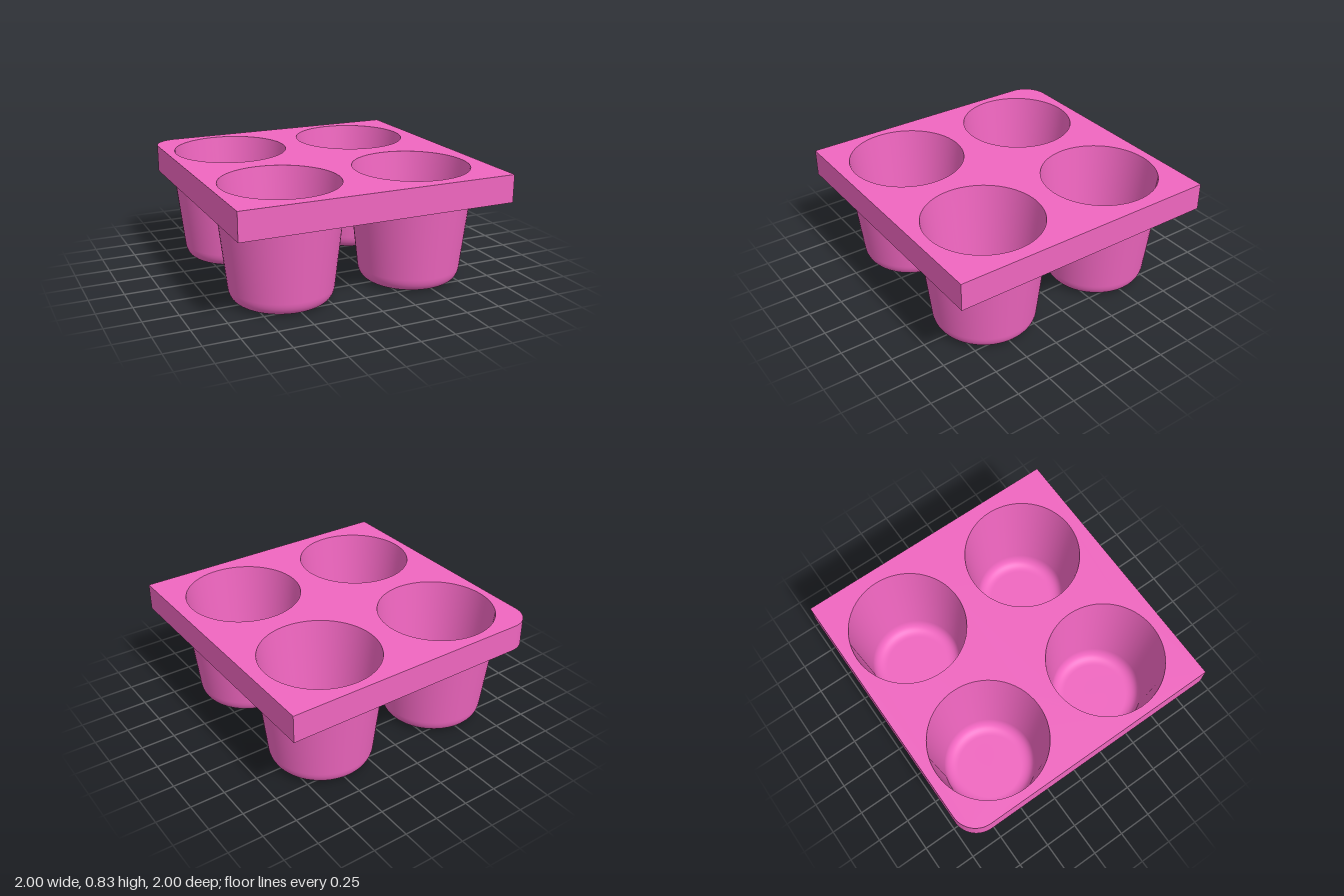
import * as THREE from 'three';

const TOP = 0.83, UNDER = 0.63, HOLE = 0.42, CORNER = 0.18;
const CENTRES = [[-0.52, -0.51], [0.48, -0.51], [-0.52, 0.49], [0.48, 0.49]];

export function createModel() {
  const group = new THREE.Group();
  const material = new THREE.MeshStandardMaterial({ color: 0xf066c0 });

  const add = (name, geometry, x = 0, y = 0, z = 0) => {
    const mesh = new THREE.Mesh(geometry, material);
    mesh.name = name;
    mesh.position.set(x, y, z);
    group.add(mesh);
  };

  // Square plate with one rounded corner (back, -x) and four round holes
  const outline = new THREE.Shape();
  outline.moveTo(-1, -1);
  outline.lineTo(1, -1);
  outline.lineTo(1, 1);
  outline.lineTo(-1 + CORNER, 1);
  outline.absarc(-1 + CORNER, 1 - CORNER, CORNER, Math.PI / 2, Math.PI, false);
  outline.closePath();
  for (const [x, z] of CENTRES) {
    outline.holes.push(new THREE.Path().absarc(x, -z, HOLE, 0, Math.PI * 2, true));
  }
  const plate = new THREE.ExtrudeGeometry(outline, {
    depth: TOP - UNDER, bevelEnabled: false, curveSegments: 32,
  });
  plate.rotateX(-Math.PI / 2);
  add('plate', plate, 0, UNDER, 0);

  // Tapered cup skins with a rounded bottom edge
  const outer = new THREE.Path();
  outer.moveTo(0, 0);
  outer.lineTo(0.27, 0);
  outer.quadraticCurveTo(0.36, 0, 0.371, 0.1);
  outer.lineTo(0.43, UNDER);

  const inner = new THREE.Path();
  inner.moveTo(HOLE, TOP);
  inner.lineTo(0.341, 0.13);
  inner.quadraticCurveTo(0.33, 0.03, 0.24, 0.03);
  inner.lineTo(0, 0.03);

  const outerSkin = new THREE.LatheGeometry(outer.getPoints(10), 64);
  const innerSkin = new THREE.LatheGeometry(inner.getPoints(10), 64);
  for (const [x, z] of CENTRES) {
    add('cupOutside', outerSkin, x, 0, z);
    add('cupInside', innerSkin, x, 0, z);
  }
  return group;
}
